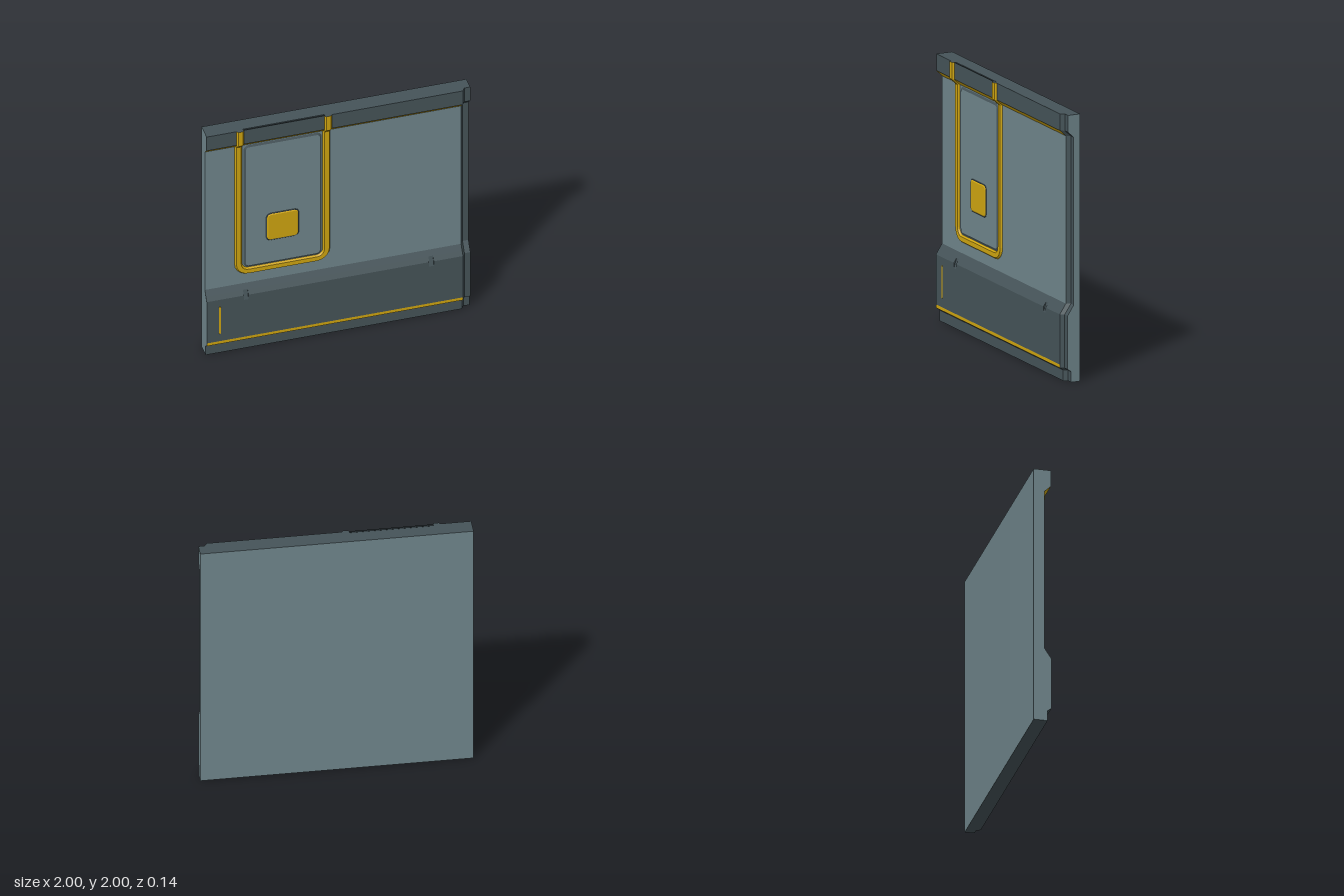
import * as THREE from 'three';

const material = (name, color) => {
  const m = new THREE.MeshStandardMaterial({ color });
  m.name = name;
  return m;
};

// Triangle soup from quads, giving flat faces
const quad = (list, a, b, c, d) => list.push(...a, ...b, ...c, ...a, ...c, ...d);
function flatMesh(name, list, mat) {
  const g = new THREE.BufferGeometry();
  g.setAttribute('position', new THREE.Float32BufferAttribute(list, 3));
  g.computeVertexNormals();
  const mesh = new THREE.Mesh(g, mat);
  mesh.name = name;
  return mesh;
}

// Raised plate with rounded corners and bevelled rim; front face at z = front
function plate(name, x0, x1, y0, y1, r, bevel, front, faceMat, rimMat, segments) {
  const s = new THREE.Shape();
  s.moveTo(x0 + r, y0);
  s.lineTo(x1 - r, y0);
  s.absarc(x1 - r, y0 + r, r, -Math.PI / 2, 0);
  s.absarc(x1 - r, y1 - r, r, 0, Math.PI / 2);
  s.absarc(x0 + r, y1 - r, r, Math.PI / 2, Math.PI);
  s.absarc(x0 + r, y0 + r, r, Math.PI, Math.PI * 1.5);
  const depth = 0.004, thick = 0.008;
  const g = new THREE.ExtrudeGeometry(s, {
    depth, bevelEnabled: true, bevelSize: bevel, bevelOffset: -bevel,
    bevelThickness: thick, bevelSegments: 1, curveSegments: segments,
  });
  g.translate(0, 0, front - depth - thick);
  const mesh = new THREE.Mesh(g, [faceMat, rimMat]);
  mesh.name = name;
  return mesh;
}

export function createModel() {
  const group = new THREE.Group();
  group.name = 'wallPanel';
  const light = material('light grey', 0x6f858b);
  const dark = material('dark grey', 0x455358);
  const yellow = material('yellow', 0xcfa510);
  const black = material('near black', 0x1d2427);

  // Wall profile as [y, z], up the front and down the back
  const profile = [
    [0, 0.032], [0.08, 0.032], [0.1, 0.06], [0.125, 0.06], [0.46, 0.06], [0.5, 0.06],
    [0.535, 0.0367], [0.575, 0.01], [1.83, 0.01], [1.875, 0.057], [2, 0.057],
    [2, -0.072], [0, -0.072],
  ];
  const full = profile;
  const notched = profile.map(([y, z], i) => [y, i === 5 ? 0.0476 : z]);
  const lowered = profile.map(([y, z], i) => [y, i <= 10 ? z - 0.03 : z]);
  const stations = [
    [-1, full], [-0.72, full], [-0.72, notched], [-0.685, notched], [-0.685, full],
    [0.68, full], [0.68, notched], [0.715, notched], [0.715, full],
    [0.935, full], [0.955, lowered], [1, lowered],
  ];

  // Wall skin, sorted by colour band
  const skin = { light: [], dark: [], yellow: [] };
  const bandColour = (i, x) => {
    if (i === 11) return 'light';
    if (x >= 0.93) return 'dark';
    if (i === 2 || i === 8) return 'yellow';
    return i === 7 ? 'light' : 'dark';
  };
  for (let s = 0; s < stations.length - 1; s++) {
    const [x0, p] = stations[s], [x1, q] = stations[s + 1];
    for (let i = 0; i < p.length; i++) {
      const j = (i + 1) % p.length;
      quad(skin[bandColour(i, x0)], [x0, ...p[i]], [x1, ...q[i]], [x1, ...q[j]], [x0, ...p[j]]);
    }
  }
  group.add(
    flatMesh('wallFaces', skin.light, light),
    flatMesh('wallTrim', skin.dark, dark),
    flatMesh('wallStripes', skin.yellow, yellow),
  );

  // Wall ends
  for (const side of [-1, 1]) {
    const prof = side > 0 ? lowered : full;
    const shape = new THREE.Shape(prof.map(([y, z]) => new THREE.Vector2(-side * z, y)));
    const end = new THREE.Mesh(new THREE.ShapeGeometry(shape), light);
    end.rotation.y = side * Math.PI / 2;
    end.position.x = side;
    end.name = side > 0 ? 'leftEnd' : 'rightEnd';
    group.add(end);
  }

  // U-shaped rail that climbs over the upper ledge
  const xl = -0.7475, xr = -0.0825, yb = 0.686, r = 0.075;
  const path = [];
  const straight = [2, 1.873, 1.828];
  for (const y of straight) path.push([xl, y, -1, 0]);
  for (const [cx, start] of [[xl + r, Math.PI], [xr - r, Math.PI * 1.5]]) {
    for (let k = 0; k <= 5; k++) {
      const a = start + (k / 5) * Math.PI / 2, c = Math.cos(a), s = Math.sin(a);
      path.push([cx + r * c, yb + r + r * s, c, s]);
    }
  }
  for (const y of [...straight].reverse()) path.push([xr, y, 1, 0]);
  const wallZ = (y) => 0.01 + 0.047 * THREE.MathUtils.clamp((y - 1.828) / 0.045, 0, 1);
  const section = [[0.0285, 0], [0.018, 0.015], [-0.018, 0.015], [-0.0285, 0]];
  const rings = path.map(([x, y, nx, ny]) =>
    section.map(([o, h]) => [x + nx * o, y + ny * o, wallZ(y) + h]));
  const rail = [], caps = [];
  for (let k = 0; k < rings.length - 1; k++) {
    for (let j = 0; j < 3; j++) {
      quad(rail, rings[k][j], rings[k + 1][j], rings[k + 1][j + 1], rings[k][j + 1]);
    }
  }
  quad(caps, ...rings[0]);
  quad(caps, ...[...rings[rings.length - 1]].reverse());
  group.add(flatMesh('rail', rail, yellow), flatMesh('railCaps', caps, dark));

  // Hatch with dark rim, and its button
  group.add(
    plate('hatch', -0.708, -0.117, 0.718, 1.822, 0.04, 0.016, 0.018, light, dark, 4),
    plate('buttonFrame', -0.545, -0.285, 0.922, 1.18, 0.035, 0.01, 0.021, dark, dark, 1),
    plate('button', -0.537, -0.293, 0.93, 1.172, 0.03, 0.012, 0.0255, yellow, yellow, 1),
  );

  // Vertical marker on the lower ledge
  const marker = plate('marker', -0.909, -0.893, 0.19, 0.44, 0.007, 0.002, 0.063, yellow, yellow, 1);
  group.add(marker);

  // Dark inlay on the top edge between the rails
  const inlay = new THREE.Mesh(new THREE.BoxGeometry(0.62, 0.002, 0.02), black);
  inlay.position.set(-0.415, 2, 0.047);
  inlay.name = 'topInlay';
  group.add(inlay);

  return group;
}
